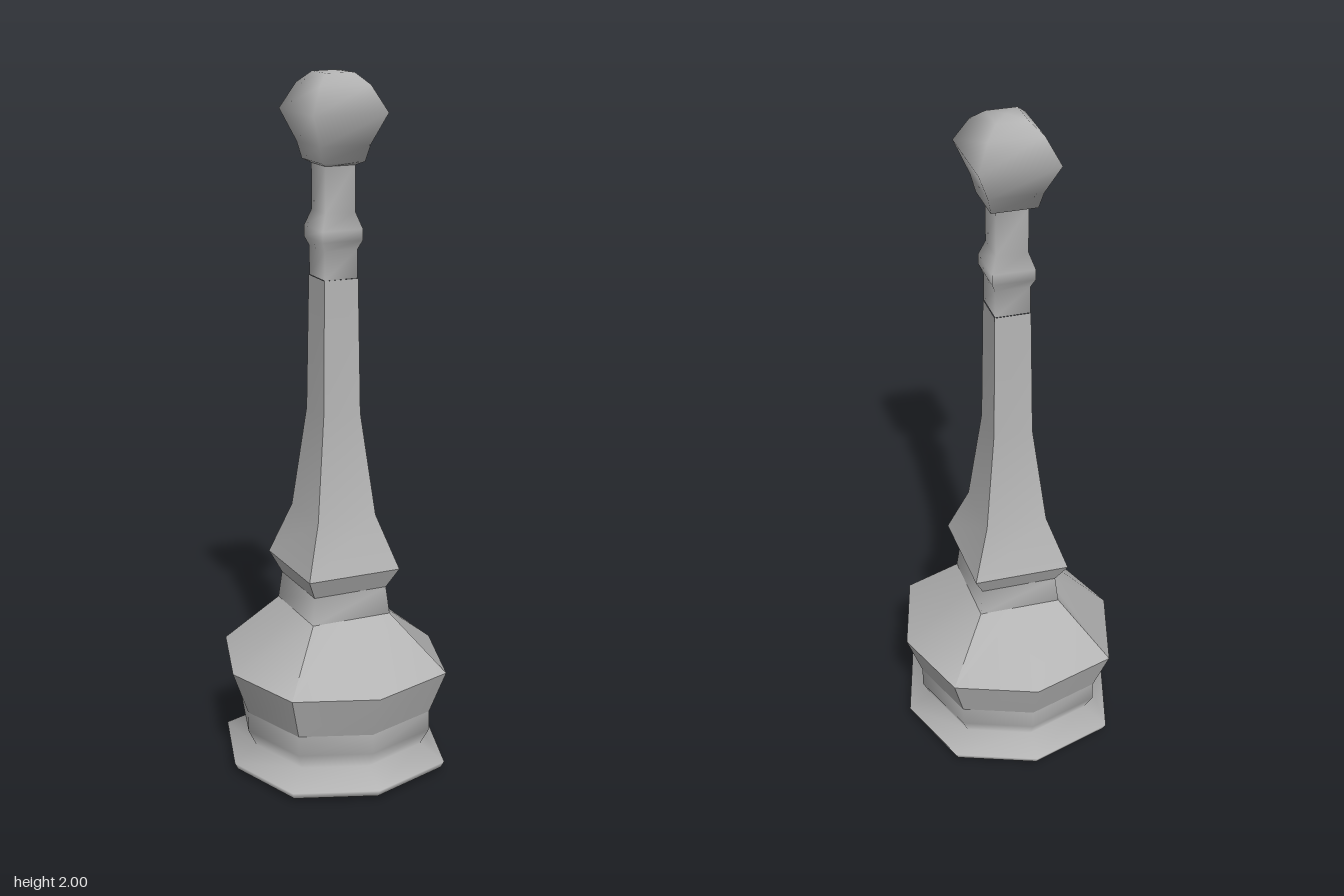
import * as THREE from 'three';
import { toCreasedNormals } from 'three/addons/utils/BufferGeometryUtils.js';

const DEPTH = 0.935; // the plan is slightly narrower in z than in x

// Corner of a ring: diagonal corners of a diamond lie on its straight sides
function corner([r, y, diamond], i, sides) {
  const a = (i / sides) * Math.PI * 2;
  const diagonal = sides === 8 && i % 2 === 1;
  if (!diagonal) return [r * Math.cos(a), y, -r * Math.sin(a) * DEPTH];
  const kx = diamond ? 0.5 : 0.645;
  const kz = diamond ? 0.5 * DEPTH : 0.645;
  return [r * kx * Math.sign(Math.cos(a)), y, -r * kz * Math.sign(Math.sin(a))];
}

// Loft through rings [radius, height, diamond?], optionally closed by a centre point
function loft(rings, sides, { bottom, top } = {}) {
  const pos = [], index = [];
  for (const ring of rings) {
    for (let i = 0; i < sides; i++) pos.push(...corner(ring, i, sides));
  }
  for (let j = 0; j < rings.length - 1; j++) {
    for (let i = 0; i < sides; i++) {
      const n = (i + 1) % sides, a = j * sides + i, b = j * sides + n;
      index.push(a, b, b + sides, a, b + sides, a + sides);
    }
  }
  const last = (rings.length - 1) * sides;
  if (bottom !== undefined) {
    const c = pos.length / 3;
    pos.push(0, bottom, 0);
    for (let i = 0; i < sides; i++) index.push(c, (i + 1) % sides, i);
  }
  if (top !== undefined) {
    const c = pos.length / 3;
    pos.push(0, top, 0);
    for (let i = 0; i < sides; i++) index.push(c, last + i, last + ((i + 1) % sides));
  }
  const g = new THREE.BufferGeometry();
  g.setAttribute('position', new THREE.Float32BufferAttribute(pos, 3));
  g.setIndex(index);
  g.computeVertexNormals();
  return g;
}

export function createModel() {
  const group = new THREE.Group();
  const stone = new THREE.MeshStandardMaterial({ color: 0xb4b4b4 });
  stone.name = 'grey stone';
  const add = (name, geometry) => {
    const mesh = new THREE.Mesh(geometry, stone);
    mesh.name = name;
    group.add(mesh);
  };
  const crease = (g) => toCreasedNormals(g, THREE.MathUtils.degToRad(38));

  // Smooth octagonal foot
  add('foot', loft([
    [0.315, 0.005], [0.335, 0.015], [0.345, 0.035], [0.27, 0.08], [0.296, 0.13], [0.296, 0.19],
  ], 8, { bottom: 0 }));

  // Faceted drum whose shoulder narrows from octagon to diamond
  add('drum', crease(loft([
    [0.296, 0.19], [0.345, 0.32], [0.172, 0.48, true],
  ], 8)));

  // Smooth diamond collar
  add('collar', loft([[0.172, 0.48], [0.16, 0.56]], 4));

  // Four-sided tapering spire
  add('spire', crease(loft([
    [0.16, 0.56], [0.2, 0.62], [0.127, 0.775], [0.08, 1.07], [0.072, 1.45],
  ], 4)));

  // Smooth neck with a small bead
  add('neck', loft([
    [0.07, 1.45], [0.07, 1.53], [0.085, 1.555], [0.085, 1.585], [0.063, 1.63], [0.063, 1.76],
  ], 4));

  // Smooth knob at the tip
  add('knob', loft([
    [0.063, 1.755], [0.09, 1.765], [0.105, 1.81], [0.155, 1.895], [0.105, 1.965], [0.06, 1.995],
  ], 4, { top: 2 }));

  return group;
}
